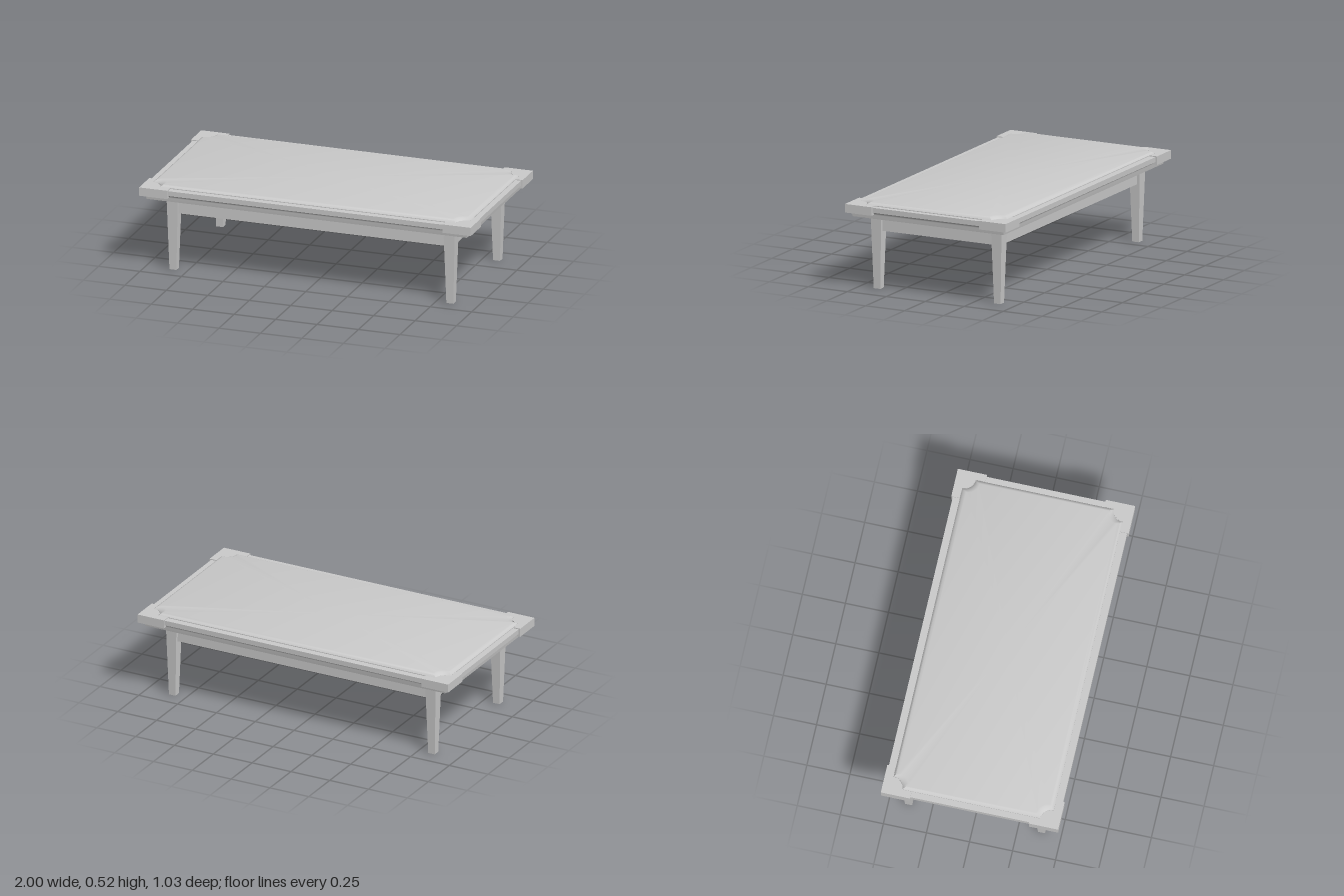
import * as THREE from 'three';
import { toCreasedNormals } from 'three/addons/utils/BufferGeometryUtils.js';

const material = new THREE.MeshStandardMaterial({ color: 0xcccccc });

// Rectangular outline, counter-clockwise from above, with scooped corners of radius c
function outline(hx, hz, c) {
  const n = c > 0 ? 6 : 0;
  const points = [];
  [[1, 1], [1, -1], [-1, -1], [-1, 1]].forEach(([sx, sz], k) => {
    for (let i = 0; i <= n; i++) {
      const t = n ? ((k % 2 ? n - i : i) / n) * Math.PI / 2 : 0;
      points.push([sx * (hx - c * Math.cos(t)), sz * (hz - c * Math.sin(t))]);
    }
  });
  return points;
}

// Closed solid through stacked outlines, given from bottom to top as [hx, hz, y]
function loft(levels, c = 0) {
  const rings = levels.map(([hx, hz, y]) => outline(hx, hz, c).map(([x, z]) => [x, y, z]));
  const n = rings[0].length;
  const v = [];
  const bottom = [0, levels[0][2], 0];
  const top = [0, levels[levels.length - 1][2], 0];
  for (let i = 0; i < n; i++) {
    const j = (i + 1) % n;
    for (let r = 0; r < rings.length - 1; r++) {
      const a = rings[r], b = rings[r + 1];
      v.push(...a[i], ...a[j], ...b[j], ...a[i], ...b[j], ...b[i]);
    }
    const last = rings[rings.length - 1];
    v.push(...top, ...last[i], ...last[j], ...bottom, ...rings[0][j], ...rings[0][i]);
  }
  const g = new THREE.BufferGeometry();
  g.setAttribute('position', new THREE.Float32BufferAttribute(v, 3));
  return toCreasedNormals(g, 0.6);
}

function add(group, name, geometry, x = 0, y = 0, z = 0) {
  const mesh = new THREE.Mesh(geometry, material);
  mesh.name = name;
  mesh.position.set(x, y, z);
  group.add(mesh);
  return mesh;
}

// L-shaped plate around one table corner, following the scoop of the panel
function cornerGeometry(sx, sz) {
  const x1 = 1, z1 = 0.515, px = 0.957, pz = 0.467, c = 0.065;
  const pts = [[x1, z1], [0.83, z1], [0.83, pz]];
  for (let i = 0; i <= 6; i++) {
    const t = (i / 6) * Math.PI / 2;
    pts.push([px - c * Math.cos(t), pz - c * Math.sin(t)]);
  }
  pts.push([px, 0.345], [x1, 0.345]);
  const shape = new THREE.Shape(pts.map(([x, z]) => new THREE.Vector2(sx * x, -sz * z)));
  const g = new THREE.ExtrudeGeometry(shape, { depth: 0.05, bevelEnabled: false });
  return g.rotateX(-Math.PI / 2).translate(0, 0.46, 0);
}

export function createModel() {
  const table = new THREE.Group();
  table.name = 'lowTable';

  // Table top: underside board, hollow cove moulding, then the square rim
  const cove = [[0.966, 0.484, 0.435], [0.969, 0.488, 0.457]];
  for (let i = 1; i <= 6; i++) {
    const t = (i / 6) * Math.PI / 2;
    cove.push([0.969 + 0.017 * (1 - Math.cos(t)), 0.488 + 0.016 * (1 - Math.cos(t)), 0.457 + 0.019 * Math.sin(t)]);
  }
  add(table, 'tableTop', loft([...cove, [0.99, 0.506, 0.476], [0.99, 0.506, 0.505]]));

  // Raised panel with a rounded edge and scooped corners
  add(table, 'raisedPanel', loft([
    [0.955, 0.465, 0.495], [0.955, 0.465, 0.509], [0.951, 0.461, 0.514],
    [0.945, 0.454, 0.519], [0.938, 0.446, 0.523], [0.932, 0.438, 0.525],
  ], 0.065));

  // Corner plates and tapered legs
  for (const sx of [-1, 1]) {
    for (const sz of [-1, 1]) {
      add(table, 'cornerPlate', cornerGeometry(sx, sz));
      add(table, 'leg', loft([[0.021, 0.021, 0], [0.034, 0.034, 0.436]]), sx * 0.835, 0, sz * 0.386);
    }
  }

  // Aprons between the legs
  const longApron = new THREE.BoxGeometry(1.62, 0.097, 0.02);
  const shortApron = new THREE.BoxGeometry(0.02, 0.097, 0.73);
  for (const s of [-1, 1]) {
    add(table, 'longApron', longApron, 0, 0.388, s * 0.39);
    add(table, 'shortApron', shortApron, s * 0.84, 0.388, 0);
  }
  return table;
}
